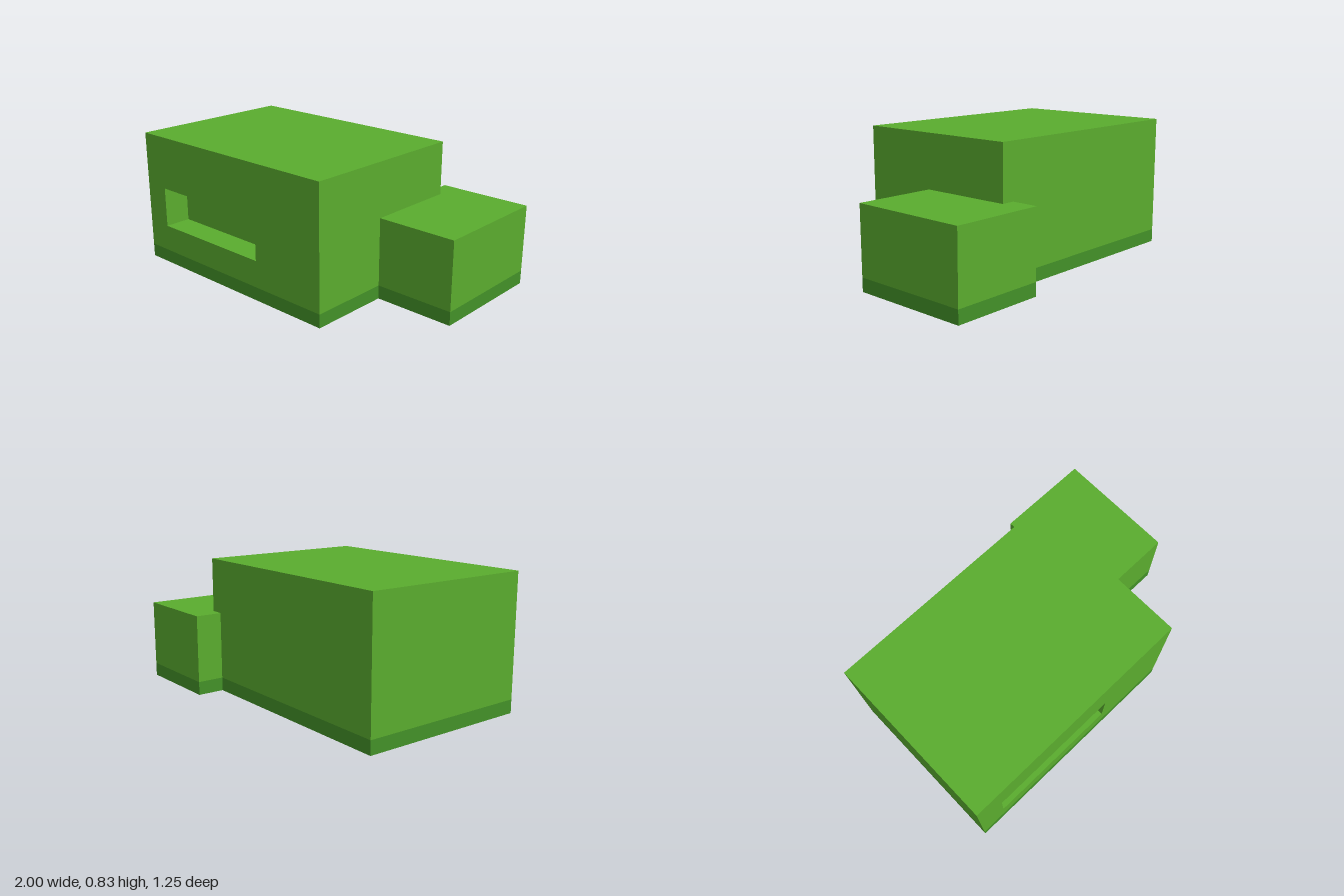
import * as THREE from 'three';

const LEFT = -1, WALL = 0.5, RIGHT = 1;        // x limits of the main block and the annex
const FRONT = 0.625, BACK = -0.458;            // z limits of the main block
const ANNEX_FRONT = 0.125, ANNEX_BACK = -0.625, ANNEX_X = 0.417;
const BASE_H = 0.083, ANNEX_H = 0.5, MAIN_H = 0.833;
const NICHE = { x0: -0.835, x1: 0, y0: 0.25, y1: 0.5, depth: 0.167 };

const wallMaterial = new THREE.MeshStandardMaterial({ color: 0x5aac2e });
const baseMaterial = new THREE.MeshStandardMaterial({ color: 0x439128 });

const polygon = (points) => new THREE.Shape(points.map(([x, y]) => new THREE.Vector2(x, y)));

function addMesh(group, name, geometry, material) {
  const mesh = new THREE.Mesh(geometry, material);
  mesh.name = name;
  group.add(mesh);
  return mesh;
}

// Vertical prism over an [x, z] floor plan
function prism(plan, y0, y1) {
  const shape = polygon(plan.map(([x, z]) => [x, -z]));
  return new THREE.ExtrudeGeometry(shape, { depth: y1 - y0, bevelEnabled: false })
    .rotateX(-Math.PI / 2)
    .translate(0, y0, 0);
}

export function createModel() {
  const model = new THREE.Group();
  model.name = 'building';

  const annexPlan = [
    [WALL, ANNEX_FRONT], [RIGHT, ANNEX_FRONT], [RIGHT, ANNEX_BACK],
    [ANNEX_X, ANNEX_BACK], [ANNEX_X, BACK],
  ];

  // Darker plinth under the whole footprint
  addMesh(model, 'basePlinth', prism(
    [[LEFT, FRONT], [WALL, FRONT], ...annexPlan, [LEFT, BACK]], 0, BASE_H), baseMaterial);

  // Main block behind the niche
  const nicheBack = FRONT - NICHE.depth;
  addMesh(model, 'mainBlock', prism(
    [[LEFT, nicheBack], [WALL, nicheBack], [WALL, BACK], [LEFT, BACK]], BASE_H, MAIN_H), wallMaterial);

  // Thick front wall with the rectangular niche cut out
  const wall = polygon([[LEFT, BASE_H], [WALL, BASE_H], [WALL, MAIN_H], [LEFT, MAIN_H]]);
  const { x0, x1, y0, y1 } = NICHE;
  wall.holes.push(polygon([[x0, y0], [x0, y1], [x1, y1], [x1, y0]]));
  addMesh(model, 'frontWall', new THREE.ExtrudeGeometry(wall,
    { depth: NICHE.depth, bevelEnabled: false }).translate(0, 0, nicheBack), wallMaterial);

  // Lower annex wrapping the back corner
  addMesh(model, 'annex', prism([...annexPlan, [WALL, BACK]], BASE_H, ANNEX_H), wallMaterial);

  return model;
}
